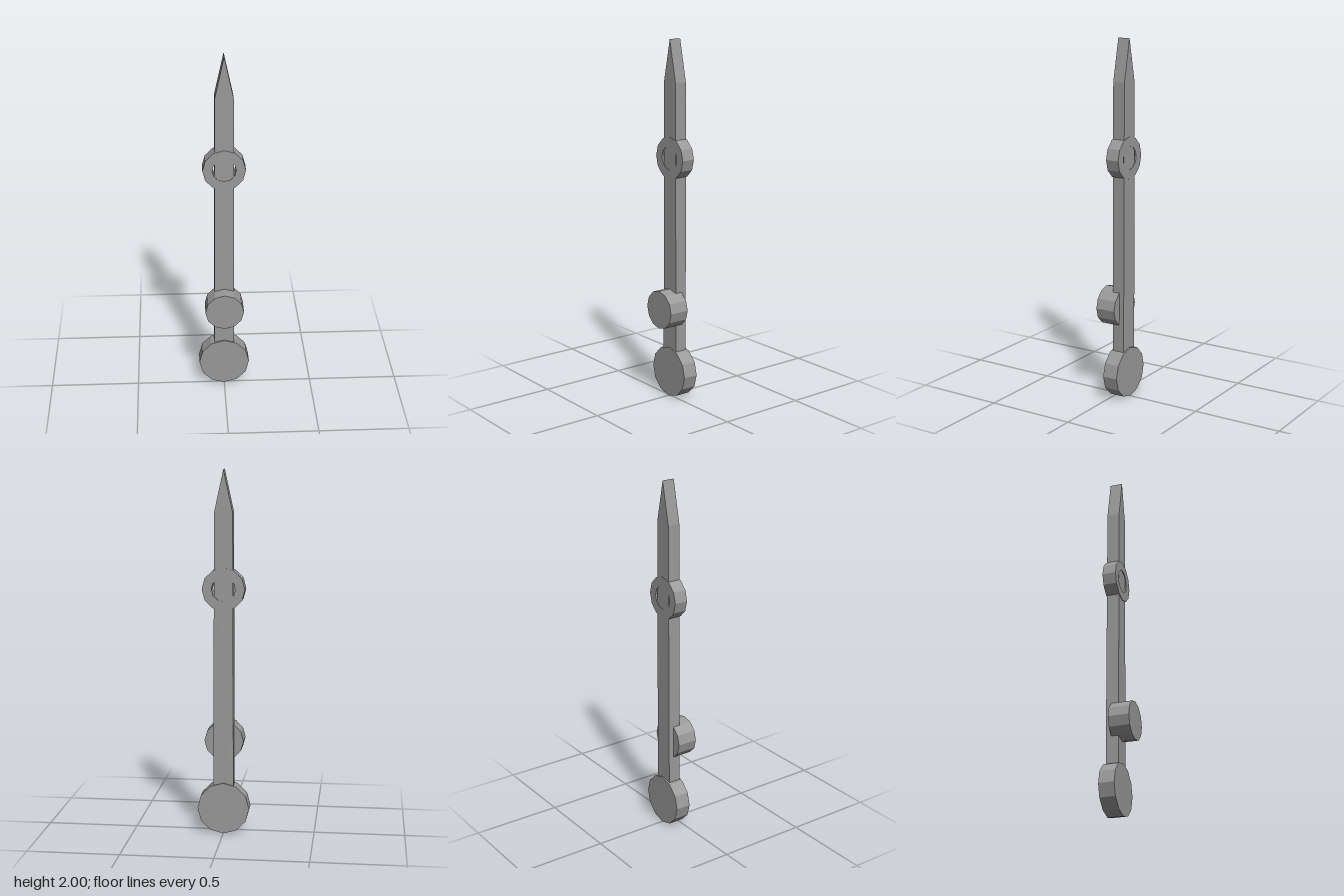
import * as THREE from 'three';

export function createModel() {
  const group = new THREE.Group();
  group.name = 'clockHand';
  const grey = new THREE.MeshStandardMaterial({ color: 0x999999, flatShading: true });
  grey.name = 'grey metal';

  function add(name, geometry) {
    const mesh = new THREE.Mesh(geometry, grey);
    mesh.name = name;
    group.add(mesh);
  }

  // Twelve-sided disc facing the front, spanning back..front in z
  function disc(name, radius, y, back, front) {
    const g = new THREE.CylinderGeometry(radius, radius, front - back, 12);
    g.rotateX(Math.PI / 2);
    g.translate(0, y, (back + front) / 2);
    add(name, g);
  }

  // Flat shape extruded from back to front
  function slab(name, shape, y, back, front) {
    const g = new THREE.ExtrudeGeometry(shape, { depth: front - back, bevelEnabled: false });
    g.translate(0, y, back);
    add(name, g);
  }

  const polygon = (radius) => Array.from({ length: 12 }, (_, i) =>
    new THREE.Vector2(Math.cos(i * Math.PI / 6) * radius, Math.sin(i * Math.PI / 6) * radius));

  // Slightly tapering blade with a pointed tip
  const blade = new THREE.Shape([
    [-0.056, 0.14], [0.056, 0.14], [0.05, 1.77], [0, 2], [-0.05, 1.77],
  ].map(([x, y]) => new THREE.Vector2(x, y)));
  slab('blade', blade, 0, -0.069, 0.001);

  // Ring, a little proud of the blade on both faces
  const ring = new THREE.Shape(polygon(0.117));
  ring.holes.push(new THREE.Path(polygon(0.065).reverse()));
  slab('ring', ring, 1.36, -0.072, 0.004);

  // Raised pivot cap and the counterweight at the foot
  disc('pivotCap', 0.108, 0.517, -0.04, 0.076);
  disc('counterweight', 0.143, 0.143, -0.078, 0.009);

  return group;
}
